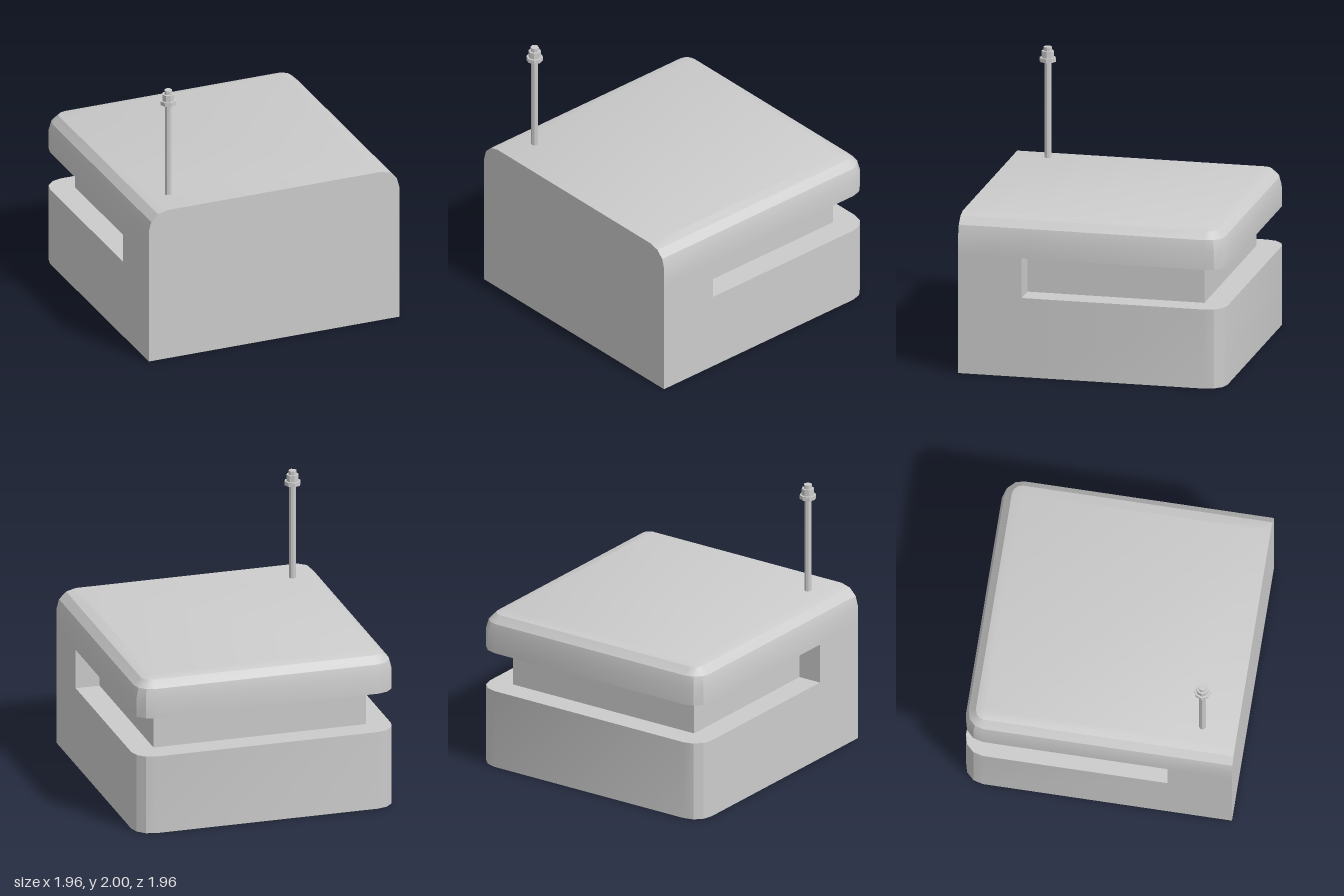
import * as THREE from 'three';
import { toCreasedNormals } from 'three/addons/utils/BufferGeometryUtils.js';

const HALF = 0.98, RADIUS = 0.145, HEIGHT = 1.175, STEPS = 3;
const GROOVE = { bottom: 0.59, top: 0.885, front: 0.51, inner: 0.8 };

// Plan outline at height y: square at the front, rounded at the back.
// When grooved, everything behind the groove's front end is pulled inwards.
function ring(y, inset = 0, grooved = false) {
  const outer = HALF - inset;
  const w = grooved ? GROOVE.inner : outer;
  const r = grooved ? 0 : RADIUS - inset;
  const side = [[outer, HALF], [outer, GROOVE.front], [w, GROOVE.front]];
  for (let i = 0; i <= STEPS; i++) {
    const a = (i / STEPS) * Math.PI / 2;
    side.push([w - r + r * Math.cos(a), -(w - r) - r * Math.sin(a)]);
  }
  const mirrored = side.map(([x, z]) => [-x, z]).reverse();
  return [...side, ...mirrored].map(([x, z]) => new THREE.Vector3(x, y, z));
}

// Skin a stack of rings and close both ends
function loft(rings) {
  const pos = [];
  const tri = (a, b, c) => {
    const area = b.clone().sub(a).cross(c.clone().sub(a)).length();
    if (area > 1e-7) for (const p of [a, b, c]) pos.push(p.x, p.y, p.z);
  };
  const n = rings[0].length;
  for (let k = 0; k + 1 < rings.length; k++) {
    const lo = rings[k], hi = rings[k + 1];
    for (let i = 0; i < n; i++) {
      const j = (i + 1) % n;
      tri(lo[i], lo[j], hi[j]);
      tri(lo[i], hi[j], hi[i]);
    }
  }
  const bottom = rings[0], top = rings[rings.length - 1];
  for (let i = 1; i + 1 < n; i++) {
    tri(bottom[0], bottom[i + 1], bottom[i]);
    tri(top[0], top[i], top[i + 1]);
  }
  const geo = new THREE.BufferGeometry();
  geo.setAttribute('position', new THREE.Float32BufferAttribute(pos, 3));
  return toCreasedNormals(geo, 0.45);
}

export function createModel() {
  const group = new THREE.Group();
  const smooth = new THREE.MeshStandardMaterial({ color: 0xcccccc });
  const flat = new THREE.MeshStandardMaterial({ color: 0xcccccc, flatShading: true });

  // Body: base, groove around sides and back, rounded top
  const rings = [
    ring(0), ring(GROOVE.bottom),
    ring(GROOVE.bottom, 0, true), ring(GROOVE.top, 0, true),
    ring(GROOVE.top),
  ];
  for (let i = 0; i <= STEPS; i++) {
    const a = (i / STEPS) * Math.PI / 2;
    rings.push(ring(HEIGHT - RADIUS + RADIUS * Math.sin(a), RADIUS * (1 - Math.cos(a))));
  }
  const body = new THREE.Mesh(loft(rings), smooth);
  body.name = 'body';
  group.add(body);

  // Antenna: thin rod with a stepped tip
  const antenna = new THREE.Group();
  antenna.name = 'antenna';
  antenna.position.set(-0.72, 0, 0.725);
  const parts = [
    ['antennaRod', 0.026, HEIGHT - 0.01, 1.89],
    ['tipFlange', 0.06, 1.89, 1.92],
    ['tipCollar', 0.045, 1.92, 1.97],
    ['tipCap', 0.03, 1.97, 2.0],
  ];
  for (const [name, r, y0, y1] of parts) {
    const mesh = new THREE.Mesh(new THREE.CylinderGeometry(r, r, y1 - y0, 8), flat);
    mesh.name = name;
    mesh.position.y = (y0 + y1) / 2;
    antenna.add(mesh);
  }
  group.add(antenna);
  return group;
}
